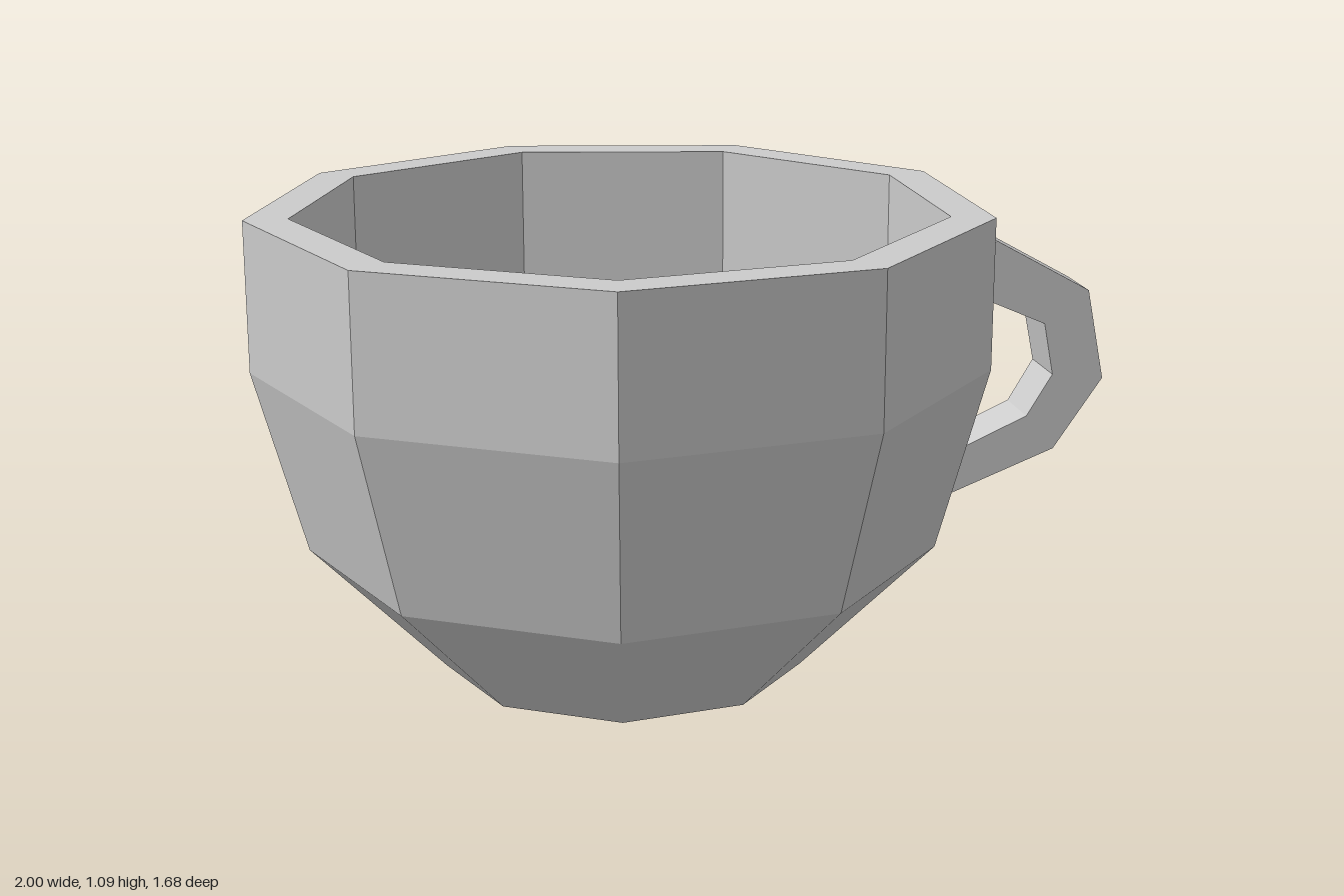
import * as THREE from 'three';

const SIDES = 9;
const CUP_X = -0.149; // cup axis, shifted to make room for the handle

export function createModel() {
  const group = new THREE.Group();
  group.name = 'cup';
  const material = new THREE.MeshStandardMaterial({ color: 0xcccccc, flatShading: true });

  // Bowl: nine-sided closed shell, outside up to the rim and back down inside
  const profile = [
    [0, 0], [0.425, 0], [0.735, 0.31], [0.851, 0.74], [0.851, 1.09], // outside
    [0.75, 1.09], [0.75, 0.752], [0.645, 0.357], [0.381, 0.094], [0, 0.094], // inside
  ].map(([r, y]) => new THREE.Vector2(r, y));
  const bowl = new THREE.Mesh(new THREE.LatheGeometry(profile, SIDES, -Math.PI / 2), material);
  bowl.name = 'bowl';
  bowl.position.x = CUP_X;
  group.add(bowl);

  // Handle: angular loop whose ends are buried in the bowl wall
  const outer = [[0.61, 0.93], [0.725, 0.99], [0.955, 0.862], [1, 0.645], [0.885, 0.475], [0.63, 0.375], [0.53, 0.356]];
  const inner = [[0.53, 0.445], [0.61, 0.468], [0.815, 0.56], [0.875, 0.66], [0.85, 0.785], [0.68, 0.86], [0.61, 0.79]];
  const shape = new THREE.Shape([...outer, ...inner].map(([x, y]) => new THREE.Vector2(x, y)));
  const handleGeometry = new THREE.ExtrudeGeometry(shape, { depth: 2, bevelEnabled: false });
  handleGeometry.translate(0, 0, -1);

  // Narrow the handle slightly toward its lower end
  const pos = handleGeometry.attributes.position;
  for (let i = 0; i < pos.count; i++) {
    const halfWidth = 0.068 + 0.018 * (pos.getY(i) - 0.36);
    pos.setZ(i, pos.getZ(i) * halfWidth);
  }
  handleGeometry.computeVertexNormals();
  const handle = new THREE.Mesh(handleGeometry, material);
  handle.name = 'handle';
  group.add(handle);

  return group;
}
